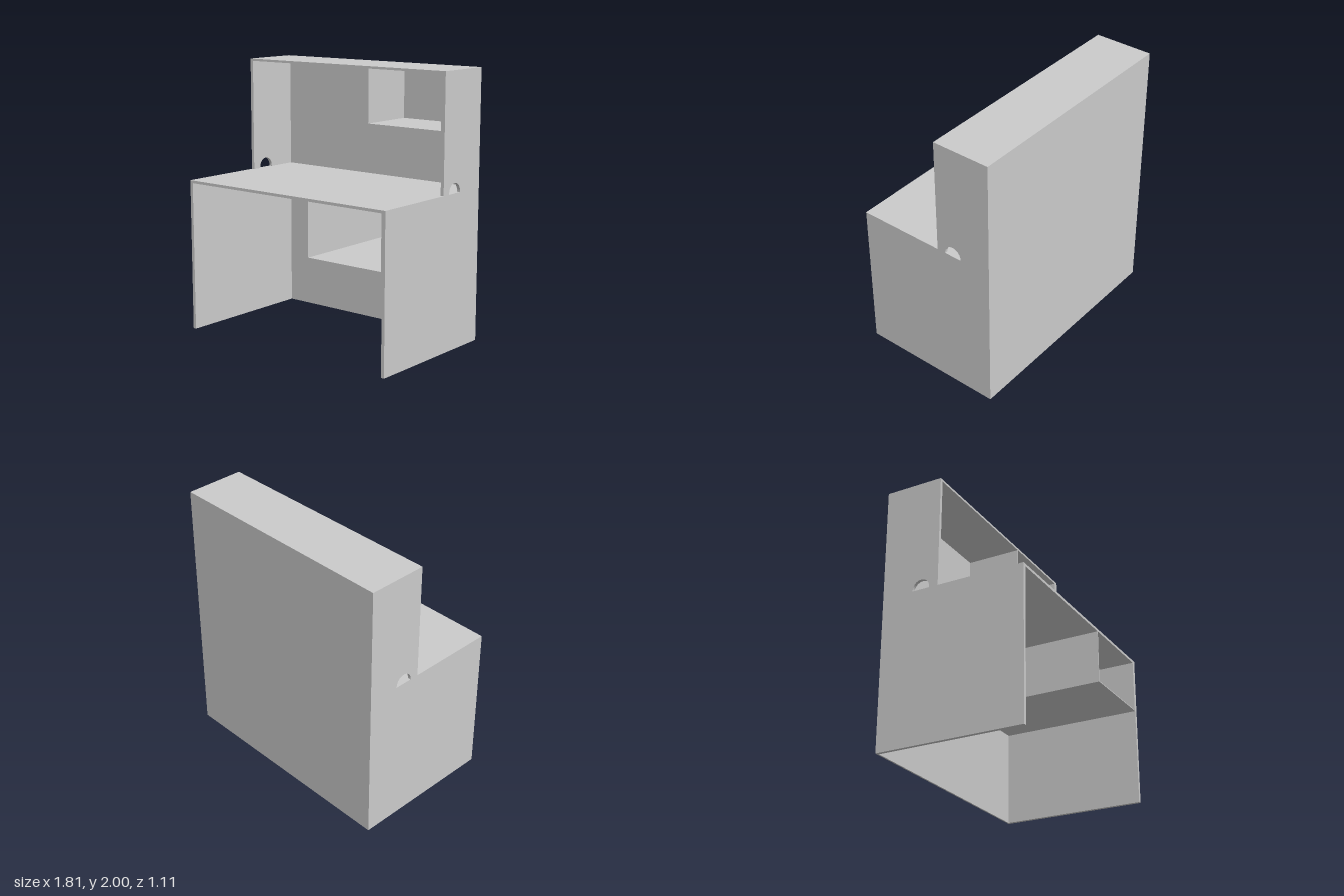
import * as THREE from 'three';

export function createModel() {
  const model = new THREE.Group();
  model.name = 'deskWithHutch';
  const mat = new THREE.MeshStandardMaterial({ color: 0xcccccc, flatShading: true });

  // overall sizes
  const W = 0.905, FRONT = 0.555, BACK = -0.555, HUTCH = -0.11;
  const SIDE = 0.025, BACKT = 0.012, THIN = 0.007;
  const DESK_LO = 1.12, DESK_HI = 1.14, TOP_LO = 1.983, TOP_HI = 2;

  // a panel given by its minimum and maximum on each axis
  function panel(name, x0, x1, y0, y1, z0, z1, parent = model) {
    const mesh = new THREE.Mesh(new THREE.BoxGeometry(x1 - x0, y1 - y0, z1 - z0), mat);
    mesh.position.set((x0 + x1) / 2, (y0 + y1) / 2, (z0 + z1) / 2);
    mesh.name = name;
    parent.add(mesh);
  }

  // hutch side with an arched cable opening at its foot; shape x runs along z
  function hutchSide(name, xOuter) {
    const zc = -0.245, r = 0.067, spring = 1.148, z0 = BACK + BACKT;
    const s = new THREE.Shape();
    s.moveTo(z0, DESK_HI);
    s.lineTo(zc - r, DESK_HI);
    s.lineTo(zc - r, spring);
    s.absarc(zc, spring, r, Math.PI, 0, true);
    s.lineTo(zc + r, DESK_HI);
    s.lineTo(HUTCH, DESK_HI);
    s.lineTo(HUTCH, TOP_LO);
    s.lineTo(z0, TOP_LO);
    s.closePath();
    const geo = new THREE.ExtrudeGeometry(s, { depth: SIDE, bevelEnabled: false, curveSegments: 10 });
    geo.rotateY(-Math.PI / 2);
    const mesh = new THREE.Mesh(geo, mat);
    mesh.position.x = xOuter;
    mesh.name = name;
    model.add(mesh);
  }

  // open-fronted compartment hung under a top
  function compartment(name, y0, y1, z1) {
    const g = new THREE.Group();
    g.name = name;
    const x0 = 0.237, x1 = W - SIDE, z0 = BACK + BACKT;
    panel('compartmentFloor', x0, x1, y0, y0 + THIN, z0, z1, g);
    panel('compartmentInnerWall', x0, x0 + THIN, y0 + THIN, y1, z0, z1, g);
    panel('compartmentOuterWall', x1 - THIN, x1, y0 + THIN, y1, z0, z1, g);
    model.add(g);
  }

  // desk
  panel('leftDeskSide', W - SIDE, W, 0, DESK_LO, BACK + BACKT, FRONT);
  panel('rightDeskSide', -W, -W + SIDE, 0, DESK_LO, BACK + BACKT, FRONT);
  panel('deskBack', -W, W, 0, DESK_LO, BACK, BACK + BACKT);
  panel('deskTop', -W, W, DESK_LO, DESK_HI, BACK, FRONT);
  compartment('deskCompartment', 0.72, DESK_LO, FRONT);

  // hutch
  hutchSide('leftHutchSide', W);
  hutchSide('rightHutchSide', -W + SIDE);
  panel('hutchBack', -W, W, DESK_HI, TOP_LO, BACK, BACK + BACKT);
  panel('hutchTop', -W, W, TOP_LO, TOP_HI, BACK, HUTCH);
  compartment('hutchCompartment', 1.583, TOP_LO, HUTCH);

  return model;
}
